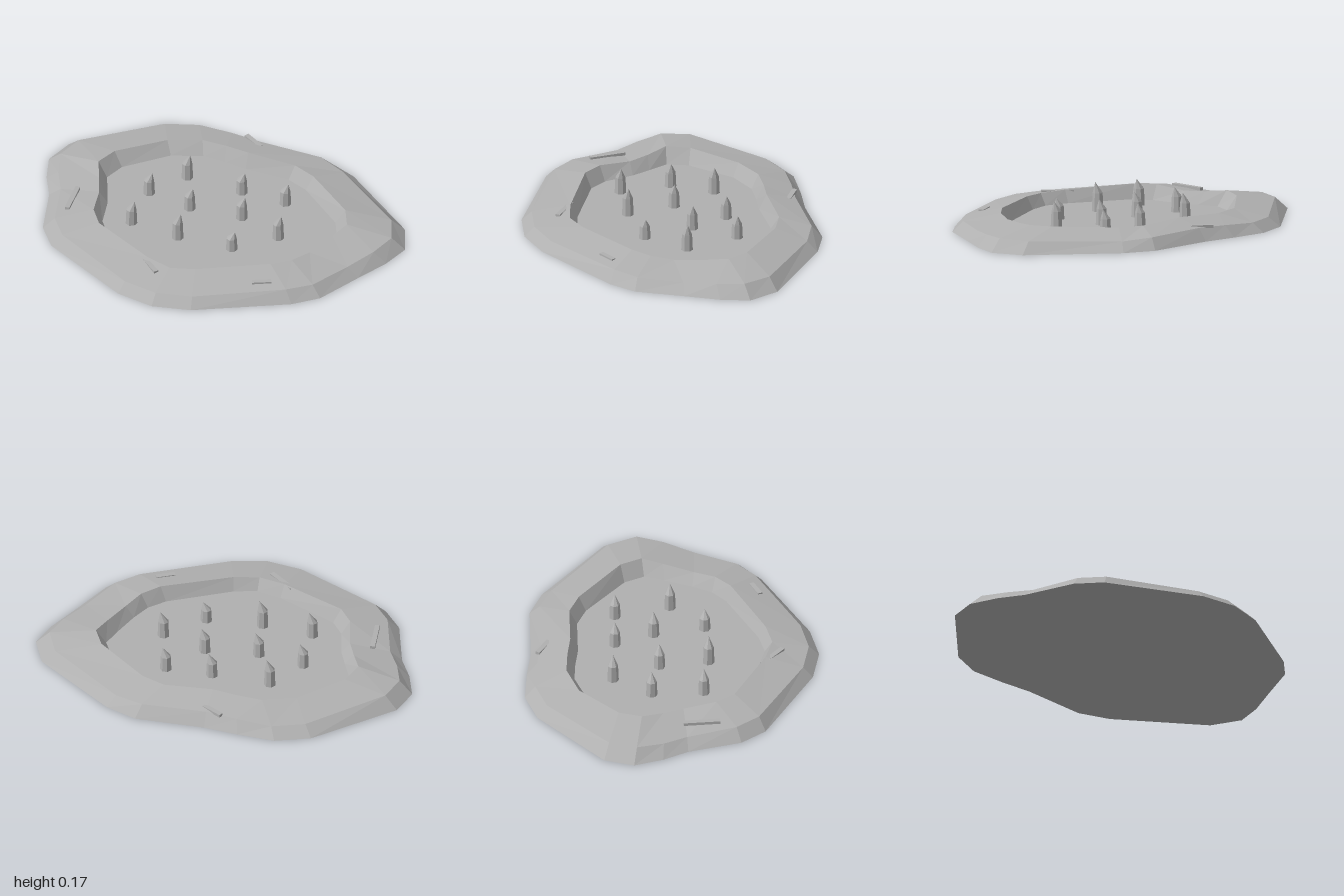
import * as THREE from 'three';

const stone = new THREE.MeshStandardMaterial({ color: 0xb0b0b0, flatShading: true });
stone.name = 'grey stone';

// Ground outline and pit rim outline as matching x, z pairs, from the right side round the back
const OUTER = [
  [-1, -0.2], [-0.955, -0.355], [-0.58, -0.7], [-0.4, -0.765], [-0.2, -0.755], [-0.02, -0.735], [0.345, -0.74],
  [0.51, -0.675], [0.93, -0.36], [1, -0.2], [0.955, -0.05], [0.87, 0.12], [0.757, 0.355], [0.64, 0.46],
  [0.18, 0.71], [-0.02, 0.757], [-0.22, 0.725], [-0.7, 0.48], [-0.8, 0.355], [-0.88, 0.08], [-0.95, -0.05],
];
const RIM = [
  [-0.705, -0.16], [-0.665, -0.28], [-0.455, -0.485], [-0.285, -0.55], [-0.15, -0.545], [-0.02, -0.53], [0.24, -0.535],
  [0.365, -0.485], [0.635, -0.27], [0.69, -0.16], [0.655, -0.05], [0.595, 0.11], [0.54, 0.22], [0.455, 0.3],
  [0.11, 0.48], [-0.02, 0.515], [-0.16, 0.48], [-0.5, 0.32], [-0.57, 0.225], [-0.61, 0.055], [-0.655, -0.05],
];
// Uneven heights of the bevel and the rim, in hundredths
const BEVEL_Y = [6.5, 6.5, 5, 5, 6, 6.5, 6, 5, 6, 6.5, 6, 5, 5.5, 6, 5, 5, 5, 6, 6, 5, 5.5];
const RIM_Y = [10, 9.5, 8.5, 9, 9.5, 10, 9, 9, 10, 10, 9, 8, 9, 9.5, 8.5, 8, 8.5, 9.5, 9.5, 8, 8.5];
const FLOOR_Y = 0.02;

function ring(outline, scale, height) {
  return outline.map(([x, z], i) => [x * scale, height(i), z * scale]);
}

// Joins successive rings into faceted bands
function skin(rings) {
  const n = rings[0].length;
  const pos = rings.flat(2);
  const index = [];
  for (let r = 0; r < rings.length - 1; r++) {
    for (let i = 0; i < n; i++) {
      const a = r * n + i, b = r * n + (i + 1) % n;
      index.push(a, a + n, b, b, a + n, b + n);
    }
  }
  const geo = new THREE.BufferGeometry();
  geo.setAttribute('position', new THREE.Float32BufferAttribute(pos, 3));
  geo.setIndex(index);
  const flat = geo.toNonIndexed();
  flat.computeVertexNormals();
  return flat;
}

function add(parent, name, geo) {
  const mesh = new THREE.Mesh(geo, stone);
  mesh.name = name;
  parent.add(mesh);
  return mesh;
}

// Seven-sided stake whose point leans to one side
function stakeGeometry(height) {
  const profile = [[0.031, 0], [0.027, height * 0.62], [0, height]].map(([r, y]) => new THREE.Vector2(r, y));
  const geo = new THREE.LatheGeometry(profile, 7).toNonIndexed();
  const p = geo.attributes.position;
  for (let i = 0; i < p.count; i++) {
    if (p.getY(i) > height * 0.9) p.setX(i, p.getX(i) + 0.018);
  }
  geo.computeVertexNormals();
  return geo;
}

export function createModel() {
  const model = new THREE.Group();
  model.name = 'stakePit';

  // Rocky bank: underside, bevelled edge, sloping top, and the wall of the pit
  const ground = ring(OUTER, 1, () => 0);
  const bevel = ring(OUTER, 0.93, (i) => BEVEL_Y[i] / 100);
  const rim = ring(RIM, 1, (i) => RIM_Y[i] / 100);
  const floorEdge = ring(RIM, 0.925, () => FLOOR_Y);
  add(model, 'bank', skin([ring(OUTER, 0, () => 0), ground, bevel, rim, floorEdge]));
  add(model, 'pitFloor', skin([floorEdge, ring(RIM, 0, () => FLOOR_Y)]));

  // Stakes: x, z, tip height
  const stakes = new THREE.Group();
  stakes.name = 'stakes';
  model.add(stakes);
  [
    [-0.27, -0.31, 0.168], [0.04, -0.3, 0.15], [0.285, -0.3, 0.15], [-0.4, -0.11, 0.152], [-0.155, -0.07, 0.152],
    [0.125, -0.1, 0.156], [0.365, -0.015, 0.165], [-0.385, 0.16, 0.16], [-0.115, 0.185, 0.175], [0.18, 0.165, 0.132],
  ].forEach(([x, z, tip]) => {
    add(stakes, 'stake', stakeGeometry(tip - FLOOR_Y)).position.set(x, FLOOR_Y, z);
  });

  // Thin slivers half sunk in the bank: x, y, z, length, turn
  [
    [-0.72, 0.073, 0.15, 0.19, 0.1],
    [-0.14, 0.073, 0.515, 0.17, 0.9],
    [0.46, 0.069, 0.43, 0.1, -1.1],
    [-0.05, 0.067, -0.67, 0.12, 1.05],
  ].forEach(([x, y, z, length, turn]) => {
    const sliver = add(model, 'sliver', new THREE.BoxGeometry(0.025, 0.016, length));
    sliver.position.set(x, y, z);
    sliver.rotation.y = turn;
  });

  return model;
}
